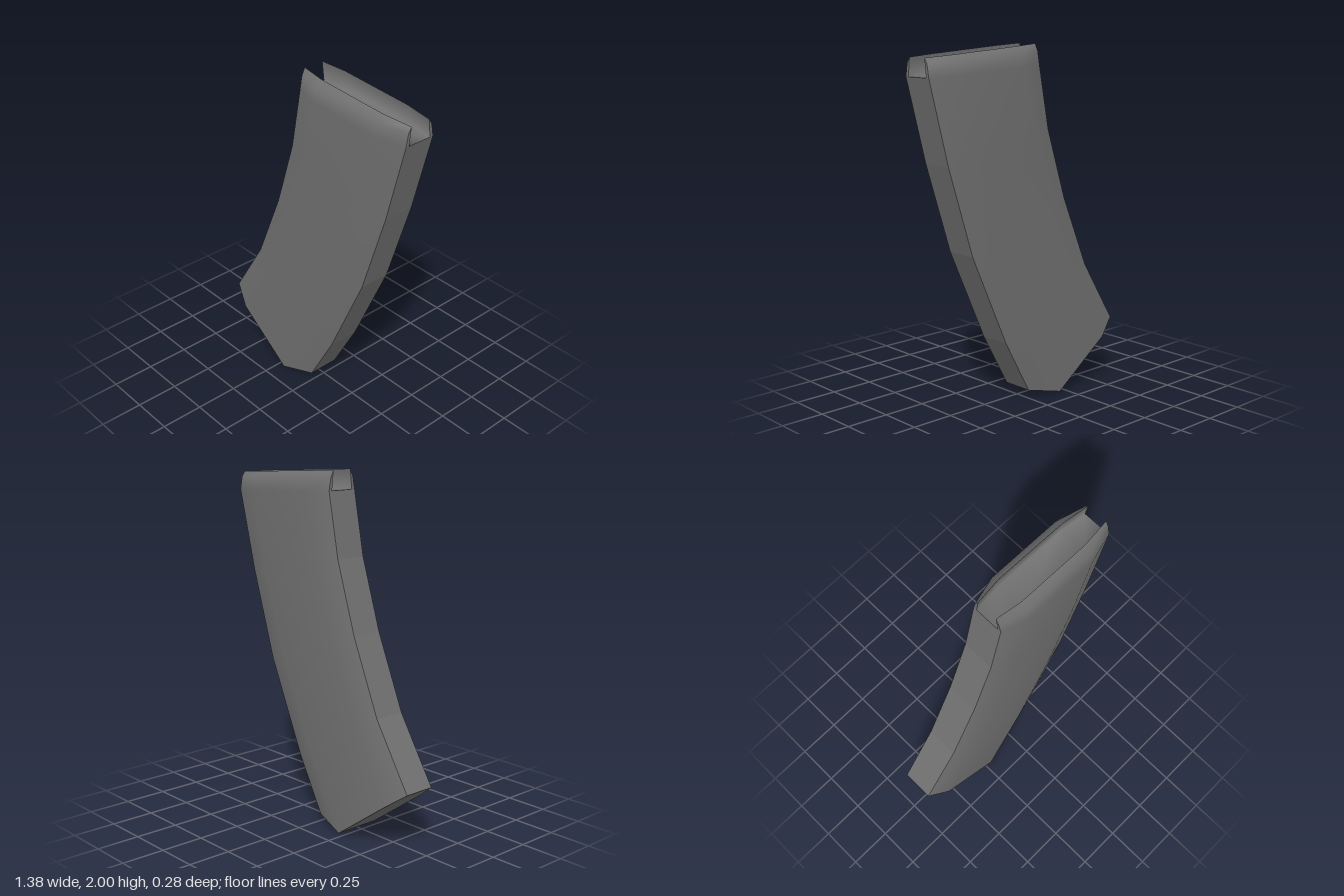
import * as THREE from 'three';
import { mergeVertices } from 'three/addons/utils/BufferGeometryUtils.js';

// Inner and outer edge curves of the curved box, bottom to top; the last three
// levels are the lip: its bend, its rim and the cavity floor inside it
const inner = [[-0.69, 0.345], [-0.46, 0.71], [-0.28, 1.13], [-0.15, 1.53], [-0.08, 1.89],
  [-0.08, 1.96], [-0.08, 2.0], [-0.08, 1.89]];
const outer = [[-0.005, 0.045], [0.17, 0.36], [0.41, 0.89], [0.57, 1.39], [0.69, 1.85],
  [0.69, 1.92], [0.69, 1.95], [0.69, 1.85]];
// Half thickness at the narrow edges and over the broad middle
const edgeZ = [0.093, 0.093, 0.093, 0.093, 0.093, 0.08, 0.06, 0.072];
const midZ = [0.14, 0.14, 0.14, 0.14, 0.14, 0.122, 0.08, 0.09];
const BODY = 4, RIM = 6, FLOOR = 7;

// Point on a level: column 0 and 3 are the edges, 1 and 2 the chamfer lines
function point(level, col, side) {
  const a = inner[level], b = outer[level];
  const z = side * (col === 0 || col === 3 ? edgeZ : midZ)[level];
  if (level === 0 && col === 1) return [-0.57, 0.258, z];
  if (level === 0 && col === 2) return [-0.21, 0, z];
  const t = [0, 0.2, 0.78, 1][col];
  return [a[0] + (b[0] - a[0]) * t, a[1] + (b[1] - a[1]) * t, z];
}

// Quads across a run of [level, side] rows
function strip(rows) {
  const quads = [];
  for (let r = 0; r < rows.length - 1; r++) {
    const [l0, s0] = rows[r], [l1, s1] = rows[r + 1];
    for (let c = 0; c < 3; c++) {
      quads.push([point(l0, c, s0), point(l0, c + 1, s0), point(l1, c + 1, s1), point(l1, c, s1)]);
    }
  }
  return quads;
}

function quadMesh(name, quads, smooth) {
  const pos = [];
  for (const [a, b, c, d] of quads) pos.push(...a, ...b, ...c, ...a, ...c, ...d);
  let geo = new THREE.BufferGeometry();
  geo.setAttribute('position', new THREE.Float32BufferAttribute(pos, 3));
  if (smooth) geo = mergeVertices(geo);
  geo.computeVertexNormals();
  const mesh = new THREE.Mesh(geo, new THREE.MeshStandardMaterial({
    color: 0x707070, flatShading: !smooth, side: THREE.DoubleSide }));
  mesh.name = name;
  return mesh;
}

export function createModel() {
  const group = new THREE.Group();
  group.name = 'curvedMagazine';

  // Broad sides with their curled lips, the cavity between the lips, and the base
  const levels = Array.from({ length: RIM + 1 }, (_, i) => i);
  group.add(
    quadMesh('frontSide', strip(levels.map((l) => [l, 1])), true),
    quadMesh('backSide', strip(levels.map((l) => [l, -1]).reverse()), true),
    quadMesh('cavity', strip([[RIM, 1], [FLOOR, 1], [FLOOR, -1], [RIM, -1]]), true),
    quadMesh('base', strip([[0, -1], [0, 1]]), false),
  );

  // Faceted narrow edges and the end caps of the two lips
  for (const [name, col] of [['innerEdge', 0], ['outerEdge', 3]]) {
    const quads = [];
    const add = (quad, flip) => quads.push(flip ? quad.reverse() : quad);
    for (let i = 0; i < BODY; i++) {
      add([point(i, col, 1), point(i, col, -1), point(i + 1, col, -1), point(i + 1, col, 1)], col === 0);
    }
    for (const side of [1, -1]) {
      add([BODY, FLOOR, RIM, 5].map((l) => point(l, col, side)), (col === 0) !== (side < 0));
    }
    group.add(quadMesh(name, quads, false));
  }
  return group;
}
